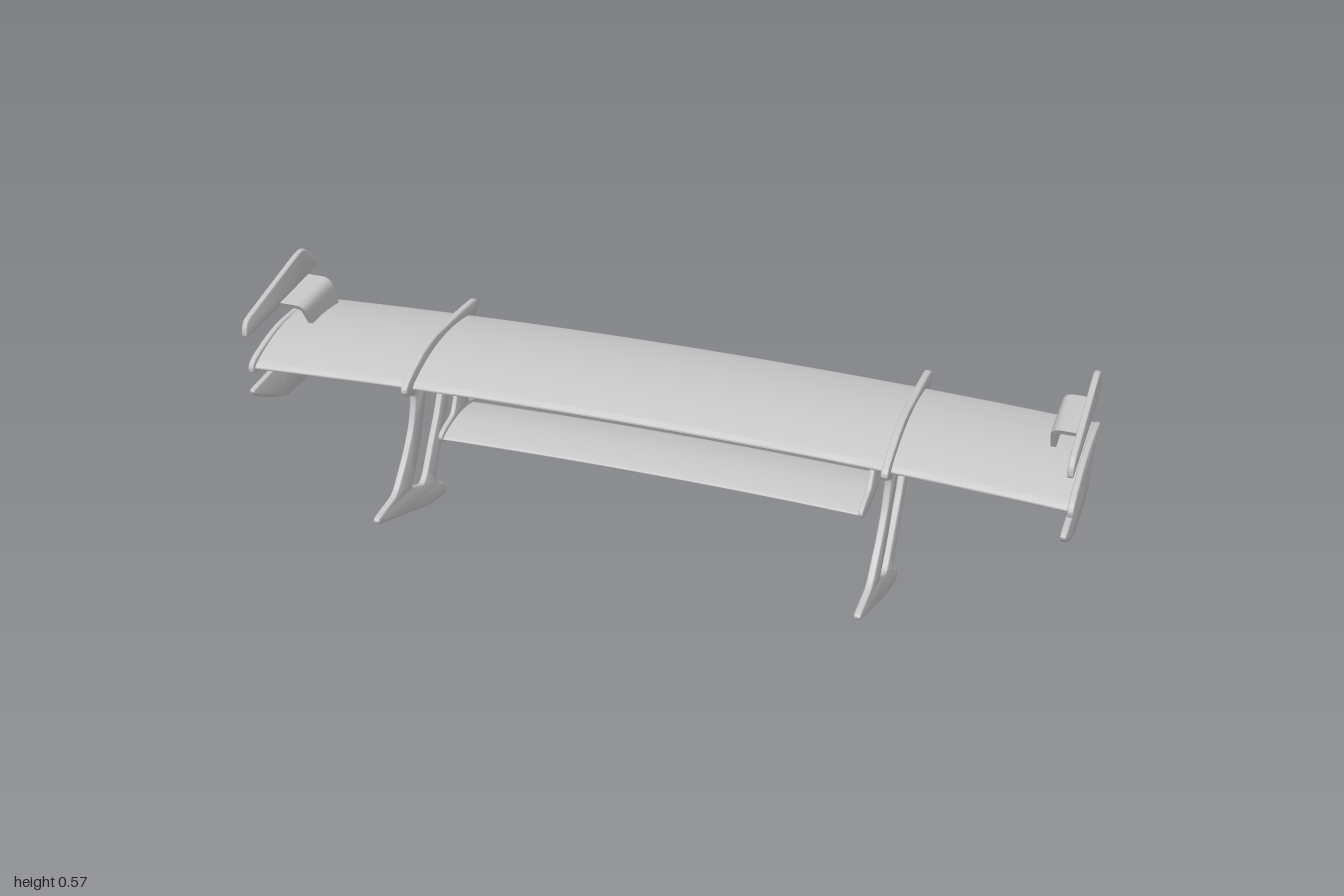
import * as THREE from 'three';
import { toCreasedNormals } from 'three/addons/utils/BufferGeometryUtils.js';

const grey = new THREE.MeshStandardMaterial({ color: 0xc4c4c4 });
grey.name = 'satin grey';

// Closed outline with every corner rounded by up to r
function rounded(path, pts, r) {
  const P = pts.map(([a, b]) => new THREE.Vector2(a, b));
  const n = P.length;
  const toward = (p, q) => p.clone().lerp(q, Math.min(0.5, r / p.distanceTo(q)));
  P.forEach((p, i) => {
    const a = toward(p, P[(i + n - 1) % n]);
    const b = toward(p, P[(i + 1) % n]);
    if (i === 0) path.moveTo(a.x, a.y); else path.lineTo(a.x, a.y);
    path.quadraticCurveTo(p.x, p.y, b.x, b.y);
  });
  path.closePath();
  return path;
}

// Outlines are listed as [z, y]; the extrusion runs along x, centred on x = 0
const flip = (pts) => pts.map(([z, y]) => [-z, y]);

function plate(pts, thick, r, hole) {
  const shape = rounded(new THREE.Shape(), flip(pts), r);
  if (hole) shape.holes.push(rounded(new THREE.Path(), flip(hole), 0.014));
  const b = 0.004;
  const g = new THREE.ExtrudeGeometry(shape, {
    depth: thick - 2 * b, bevelThickness: b, bevelSize: b, bevelOffset: -b, bevelSegments: 3, curveSegments: 5,
  });
  g.translate(0, 0, -(thick / 2 - b));
  g.rotateY(Math.PI / 2);
  return toCreasedNormals(g, 0.6);
}

// Aerofoil swept forward towards its tips
function wing(pts, halfSpan, sweep) {
  const g = new THREE.ExtrudeGeometry(rounded(new THREE.Shape(), flip(pts), 0.03), {
    depth: 2 * halfSpan, steps: 40, bevelEnabled: false, curveSegments: 5,
  });
  g.translate(0, 0, -halfSpan);
  g.rotateY(Math.PI / 2);
  const p = g.attributes.position;
  for (let i = 0; i < p.count; i++) p.setZ(i, p.getZ(i) + sweep * p.getX(i) ** 2);
  return toCreasedNormals(g, 0.7);
}

// Bent strip from the wing to a tip plate; front and back edges lean with height
function bracket(x0, x1, yWing, yPlate, front, back, tilt) {
  const s = Math.sign(yPlate - yWing);
  const t = 0.012;
  const shape = new THREE.Shape();
  const r = Math.min(0.025, Math.abs(yPlate - yWing) * 0.6);
  shape.moveTo(x0, yWing);
  shape.lineTo(x0, yPlate - s * r);
  shape.quadraticCurveTo(x0, yPlate, x0 + r, yPlate);
  shape.lineTo(x1, yPlate);
  shape.lineTo(x1, yPlate - s * t);
  shape.lineTo(x0 + r, yPlate - s * t);
  shape.quadraticCurveTo(x0 + t, yPlate - s * t, x0 + t, yPlate - s * r);
  shape.lineTo(x0 + t, yWing);
  const g = new THREE.ExtrudeGeometry(shape, { depth: 1, bevelEnabled: false, curveSegments: 6 });
  const p = g.attributes.position;
  for (let i = 0; i < p.count; i++) {
    const k = (p.getY(i) - yWing) / (yPlate - yWing);
    const u = 1 - p.getZ(i);
    const zf = THREE.MathUtils.lerp(front[0], front[1], k);
    const zb = THREE.MathUtils.lerp(back[0], back[1], k);
    p.setZ(i, THREE.MathUtils.lerp(zf, zb, u));
    p.setY(i, p.getY(i) + tilt * u * k);
  }
  return toCreasedNormals(g, 0.6);
}

export function createModel() {
  const model = new THREE.Group();
  model.name = 'rearWing';
  const add = (name, geometry, x = 0) => {
    const m = new THREE.Mesh(geometry, grey);
    m.name = name;
    m.position.x = x;
    model.add(m);
  };

  // Main and lower aerofoils
  add('mainWing', wing([
    [0.07, 0.371], [0.04, 0.388], [-0.02, 0.411], [-0.08, 0.425], [-0.15, 0.431], [-0.22, 0.427], [-0.265, 0.419],
    [-0.265, 0.406], [-0.2, 0.408], [-0.1, 0.393], [0, 0.371], [0.065, 0.359],
  ], 0.99, 0.052), 0);
  add('lowerWing', wing([
    [0.046, 0.229], [0, 0.245], [-0.06, 0.254], [-0.135, 0.246],
    [-0.135, 0.238], [-0.06, 0.236], [0.04, 0.222],
  ], 0.525, 0.052), 0);

  // Upright with foot, twin struts and a clamp around the main wing
  const upright = plate([
    [0.297, 0.122], [0.296, 0.107], [0.2, 0.075], [0.03, 0.016], [-0.063, 0.001], [-0.063, 0.027], [-0.045, 0.041],
    [-0.004, 0.066], [-0.025, 0.11], [-0.093, 0.235], [-0.135, 0.33], [-0.168, 0.363], [-0.275, 0.403],
    [-0.296, 0.417], [-0.294, 0.446], [-0.2, 0.449], [-0.05, 0.446], [0.01, 0.434], [0.08, 0.405],
    [0.123, 0.378], [0.112, 0.356], [0.07, 0.35], [0.078, 0.31], [0.093, 0.267], [0.132, 0.209], [0.198, 0.135],
  ], 0.016, 0.022, [
    [0.124, 0.117], [0.057, 0.089], [0.037, 0.11], [-0.007, 0.182], [-0.045, 0.24], [-0.085, 0.32], [-0.11, 0.358],
    [0.01, 0.35], [0.02, 0.31], [0.043, 0.25], [0.064, 0.2], [0.1, 0.145],
  ]);

  // Hanger plate carrying the lower wing
  const hanger = plate([
    [0.066, 0.235], [0.055, 0.216], [0.01, 0.212], [-0.04, 0.216], [-0.09, 0.233], [-0.132, 0.238],
    [-0.132, 0.25], [-0.09, 0.262], [-0.1, 0.31], [-0.125, 0.4], [-0.05, 0.388], [-0.035, 0.31], [-0.01, 0.262],
    [0.04, 0.25],
  ], 0.012, 0.015);

  // Three plates stacked at each tip
  const upperPlate = plate([
    [0.152, 0.461], [0.151, 0.485], [0.14, 0.505], [0.118, 0.512], [-0.12, 0.577], [-0.15, 0.579],
    [-0.2, 0.534], [-0.21, 0.514], [-0.16, 0.506], [-0.15, 0.495], [-0.01, 0.478],
  ], 0.014, 0.015);
  const middlePlate = plate([
    [0.13, 0.352], [0.13, 0.383], [0.08, 0.404], [0.01, 0.425], [-0.05, 0.432], [-0.14, 0.433], [-0.22, 0.42],
    [-0.218, 0.402], [-0.14, 0.367], [0, 0.356], [0.08, 0.352],
  ], 0.014, 0.03);
  const lowerPlate = plate([
    [0.149, 0.318], [0.13, 0.323], [0, 0.337], [-0.02, 0.348], [-0.167, 0.364], [-0.172, 0.356], [-0.224, 0.361],
    [-0.224, 0.34], [-0.195, 0.27], [-0.17, 0.243], [-0.1, 0.237], [-0.005, 0.235], [0.06, 0.26], [0.135, 0.3],
  ], 0.014, 0.015);
  const upperBracket = bracket(0.915, 0.985, 0.415, 0.488, [-0.055, -0.01], [-0.187, -0.155], 0.018);
  const lowerBracket = bracket(0.915, 0.985, 0.398, 0.343, [-0.03, -0.01], [-0.15, -0.165], 0.014);

  for (const s of [1, -1]) {
    const side = s > 0 ? 'left' : 'right';
    add(side + 'Upright', upright, s * 0.585);
    add(side + 'Hanger', hanger, s * 0.524);
    add(side + 'UpperTipPlate', upperPlate, s * 0.986);
    add(side + 'MiddleTipPlate', middlePlate, s * 0.993);
    add(side + 'LowerTipPlate', lowerPlate, s * 0.986);
    // A half turn of winding is not needed: three.js flips faces for mirrored meshes
    for (const [name, g] of [['UpperBracket', upperBracket], ['LowerBracket', lowerBracket]]) {
      add(side + name, g);
      model.children[model.children.length - 1].scale.x = s;
    }
  }
  return model;
}
